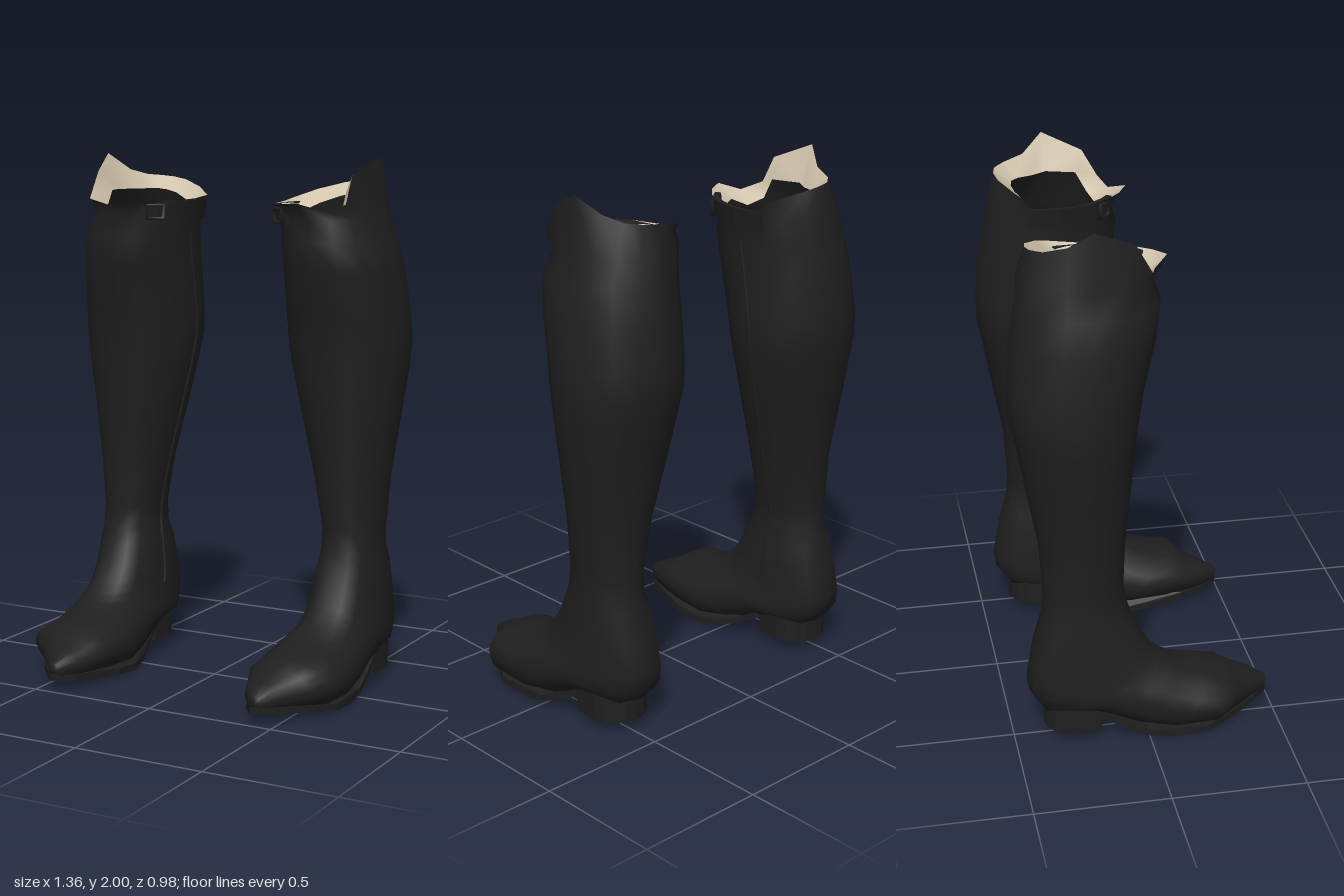
import * as THREE from 'three';
import { mergeVertices } from 'three/addons/utils/BufferGeometryUtils.js';

const N = 16;

// Shaft rings: front z, front y, back z, back y, inner x, outer x
const SHAFT = [
  [0.035, 1.77, -0.44, 1.81, 0.21, 0.6],
  [0.062, 1.69, -0.455, 1.7, 0.215, 0.635],
  [0.045, 1.58, -0.477, 1.58, 0.218, 0.658],
  [0.0, 1.4, -0.49, 1.4, 0.215, 0.677],
  [-0.015, 1.3, -0.487, 1.3, 0.218, 0.68],
  [-0.03, 1.2, -0.465, 1.2, 0.235, 0.673],
  [-0.05, 1.0, -0.43, 1.0, 0.282, 0.645],
  [-0.07, 0.8, -0.392, 0.8, 0.33, 0.617],
  [-0.08, 0.6, -0.38, 0.6, 0.37, 0.6],
  [-0.065, 0.52, -0.385, 0.52, 0.37, 0.6],
];
// Foot rings, turning from the ankle to the toe (front = instep, back = heel and sole)
const FOOT = [
  [-0.045, 0.46, -0.395, 0.46, 0.36, 0.605],
  [-0.01, 0.385, -0.428, 0.34, 0.35, 0.61],
  [0.03, 0.33, -0.446, 0.24, 0.345, 0.615],
  [0.06, 0.3, -0.436, 0.18, 0.34, 0.62],
  [0.09, 0.275, -0.4, 0.13, 0.333, 0.625],
  [0.12, 0.255, -0.25, 0.115, 0.322, 0.63],
  [0.15, 0.24, -0.15, 0.085, 0.31, 0.635],
  [0.18, 0.23, -0.05, 0.04, 0.3, 0.64],
  [0.23, 0.215, 0.08, 0.012, 0.288, 0.645],
  [0.31, 0.2, 0.25, 0.022, 0.298, 0.645],
  [0.345, 0.17, 0.335, 0.033, 0.322, 0.575],
  [0.42, 0.14, 0.42, 0.04, 0.355, 0.5],
  [0.485, 0.105, 0.475, 0.045, 0.4, 0.45],
];
// Rim of the opening, from the front lip round the outer peak
const RIM = [
  [0.385, 1.835, 0.092], [0.45, 1.81, 0.035], [0.545, 1.83, 0.01], [0.542, 1.935, -0.05],
  [0.59, 2.0, -0.2], [0.535, 1.935, -0.28], [0.505, 1.915, -0.36], [0.46, 1.91, -0.4],
  [0.41, 1.905, -0.41], [0.35, 1.895, -0.4], [0.26, 1.87, -0.35], [0.19, 1.84, -0.29],
  [0.195, 1.83, -0.2], [0.215, 1.825, -0.08], [0.26, 1.825, 0.0], [0.315, 1.83, 0.055],
].map((p) => new THREE.Vector3(...p));

// Closed ring of N points; the foot has a squarer underside
function ring([zf, yf, zb, yb, xi, xo], foot = false, size = 1) {
  return Array.from({ length: N }, (_, k) => {
    const t = (k / N) * Math.PI * 2;
    const s = Math.sin(t), c = Math.cos(t) * size;
    const p = !foot ? 0.92 : c < 0 ? 0.55 : 0.85;
    const w = Math.sign(s) * Math.abs(s) ** p * size;
    return new THREE.Vector3(
      (xi + xo) / 2 + ((xo - xi) / 2) * w,
      (yf + yb) / 2 + ((yf - yb) / 2) * c,
      (zf + zb) / 2 + ((zf - zb) / 2) * c);
  });
}

// Skin over a list of rings, facing outward, or inward if flip is set
function loft(rings, { flip = false, cap = false } = {}) {
  const pts = rings.flat(), index = [];
  const tri = (a, b, c) => (flip ? index.push(a, c, b) : index.push(a, b, c));
  for (let i = 0; i < rings.length - 1; i++) {
    for (let k = 0; k < N; k++) {
      const a = i * N + k, b = i * N + ((k + 1) % N);
      tri(a, a + N, b + N);
      tri(a, b + N, b);
    }
  }
  if (cap) {
    const last = rings[rings.length - 1], start = pts.length - N;
    const mid = last.reduce((m, p) => m.addScaledVector(p, 1 / N), new THREE.Vector3());
    for (let k = 0; k < N; k++) tri(start + k, pts.length, start + ((k + 1) % N));
    pts.push(mid);
  }
  const g = new THREE.BufferGeometry().setFromPoints(pts);
  g.setIndex(index);
  g.computeVertexNormals();
  return g;
}

// Plan outline of [x, z] points raised to a slab between two heights
function slab(outline, y, height) {
  const shape = new THREE.Shape(outline.map(([x, z]) => new THREE.Vector2(x, -z)));
  const g = new THREE.ExtrudeGeometry(shape, { depth: height, bevelEnabled: false });
  return g.rotateX(-Math.PI / 2).translate(0, y, 0);
}

function mirrored(source) {
  const g = source.index ? source.clone() : mergeVertices(source);
  g.scale(-1, 1, 1);
  const a = g.index.array;
  for (let i = 0; i < a.length; i += 3) [a[i], a[i + 1]] = [a[i + 1], a[i]];
  g.computeVertexNormals();
  return g;
}

function bootParts(leather, cream) {
  const shaftRings = SHAFT.map((r) => ring(r));
  const footRings = FOOT.map((r) => ring(r, true));

  // Lining folds inward from the rim
  const centre = new THREE.Vector3(0.385, 0, -0.17);
  const lip = RIM.map((p) => {
    const q = p.clone().lerp(centre, 0.27);
    q.y = Math.min(p.y, 1.91) - 0.05;
    return q;
  });
  const inside = SHAFT.slice(1).map((r) => ring(r, false, 0.8));

  // Thin sole following the curve of the underside
  const soleRows = [[-0.18, 0.36, 0.6, 0.1], [-0.1, 0.35, 0.61, 0.055], [0, 0.32, 0.62, 0.012],
    [0.1, 0.3, 0.625, 0], [0.22, 0.3, 0.63, 0.012], [0.33, 0.33, 0.57, 0.026],
    [0.43, 0.365, 0.49, 0.034], [0.485, 0.41, 0.44, 0.04]];
  const sole = slab([...soleRows.map((r) => [r[2], r[0]]),
    ...[...soleRows].reverse().map((r) => [r[1], r[0]])], 0, 0.025);
  const pos = sole.attributes.position;
  for (let i = 0; i < pos.count; i++) {
    const row = soleRows.find((r) => Math.abs(r[0] - pos.getZ(i)) < 1e-4);
    pos.setY(i, pos.getY(i) + row[3]);
  }
  sole.computeVertexNormals();

  // Rounded heel block
  const heelOutline = [[0.375, -0.18], [0.595, -0.18]];
  for (let k = 0; k <= 8; k++) {
    const t = (k / 8) * Math.PI;
    heelOutline.push([0.485 + 0.115 * Math.cos(t), -0.28 - 0.105 * Math.sin(t)]);
  }
  const heel = slab(heelOutline, 0.04, 0.105);

  // Garter strap round the inner side, flaring slightly at the top
  const arc = (grow) => Array.from({ length: 11 }, (_, k) => {
    const t = Math.PI * (1.36 + 0.5 * (k / 10));
    return [0.405 + (0.2 + grow) * Math.sin(t), -0.2 + (0.235 + grow) * Math.cos(t)];
  });
  const strap = slab([...arc(0.012), ...arc(-0.01).reverse()], 1.75, 0.075);
  const sp = strap.attributes.position;
  for (let i = 0; i < sp.count; i++) {
    if (sp.getY(i) > 1.8) sp.setX(i, sp.getX(i) - 0.012);
  }
  strap.computeVertexNormals();

  // Buckle frame on the front of the strap
  const buckle = new THREE.TorusGeometry(0.036, 0.009, 6, 4);
  buckle.rotateZ(Math.PI / 4).scale(1.2, 1, 1).rotateY(-0.65).translate(0.262, 1.785, -0.01);

  // Raised seam down the inner side
  const seamPath = new THREE.CatmullRomCurve3(
    [...shaftRings.slice(1), ...footRings.slice(0, 3)].map((r) => r[12].clone()));
  const seam = new THREE.TubeGeometry(seamPath, 30, 0.007, 6);

  return [
    ['shaftAndFoot', loft([RIM, ...shaftRings, ...footRings], { cap: true }), leather],
    ['liningRim', loft([RIM, lip], { flip: true }), cream],
    ['innerShaft', loft([lip, ...inside], { flip: true, cap: true }), leather],
    ['sole', sole, leather],
    ['heel', heel, leather],
    ['strap', strap, leather],
    ['buckle', buckle, leather],
    ['innerSeam', seam, leather],
  ];
}

export function createModel() {
  const leather = new THREE.MeshStandardMaterial({ color: 0x1f1f1f });
  leather.name = 'black leather';
  const cream = new THREE.MeshStandardMaterial({ color: 0xd0c2aa });
  cream.name = 'cream lining';

  const model = new THREE.Group();
  model.name = 'ridingBoots';
  const parts = bootParts(leather, cream);
  for (const side of ['left', 'right']) {
    const boot = new THREE.Group();
    boot.name = side + 'Boot';
    for (const [name, geometry, material] of parts) {
      const mesh = new THREE.Mesh(side === 'left' ? geometry : mirrored(geometry), material);
      mesh.name = name;
      boot.add(mesh);
    }
    model.add(boot);
  }
  return model;
}
